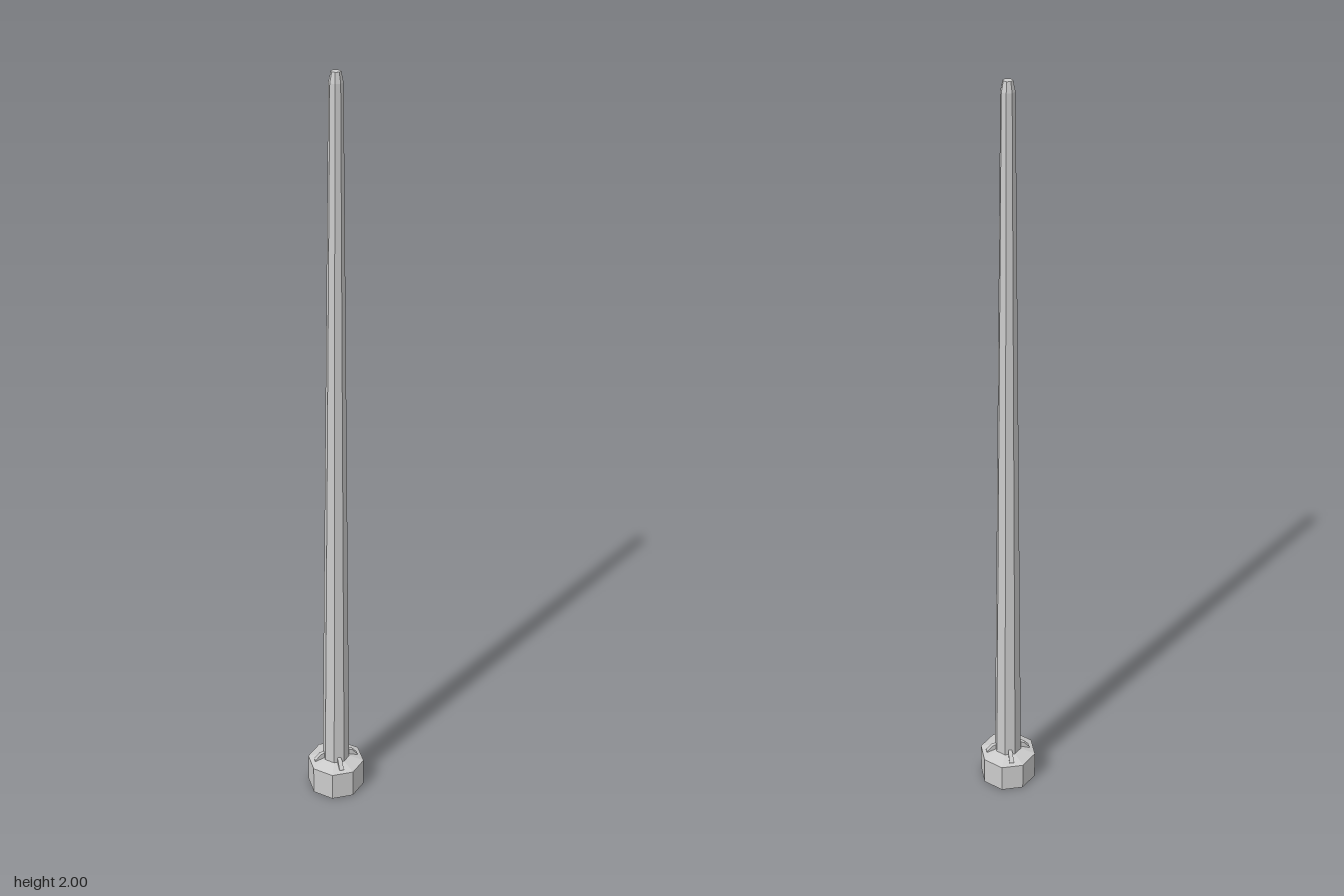
import * as THREE from 'three';

const material = new THREE.MeshStandardMaterial({ color: 0xcccccc, flatShading: true });

// Octagonal solid from [apothem, y] pairs, flat sides facing the axes
function octagon(name, profile) {
  const points = profile.map(([a, y]) => new THREE.Vector2(a / Math.cos(Math.PI / 8), y));
  const geometry = new THREE.LatheGeometry(points, 8).rotateY(Math.PI / 8).toNonIndexed();
  geometry.computeVertexNormals();
  const mesh = new THREE.Mesh(geometry, material);
  mesh.name = name;
  return mesh;
}

// Small sloped rib, profile drawn outwards from the pole
function createGusset() {
  const shape = new THREE.Shape([
    [0.025, 0.078], [0.061, 0.078], [0.06, 0.087], [0.045, 0.104], [0.025, 0.11],
  ].map(([x, y]) => new THREE.Vector2(x, y)));
  const geometry = new THREE.ExtrudeGeometry(shape, { depth: 0.012, bevelEnabled: false });
  geometry.translate(0, 0, -0.006);
  // Narrow towards the pole
  const p = geometry.attributes.position;
  for (let i = 0; i < p.count; i++) {
    if (p.getX(i) < 0.03) p.setZ(i, p.getZ(i) * 0.6);
  }
  geometry.computeVertexNormals();
  return new THREE.Mesh(geometry, material);
}

export function createModel() {
  const model = new THREE.Group();
  model.name = 'pole';

  // Footing with a shallow sloping top
  model.add(octagon('base', [[0, 0], [0.071, 0], [0.071, 0.08], [0.034, 0.092], [0, 0.092]]));

  // Tapering shaft with a chamfered tip
  model.add(octagon('shaft', [[0, 0.085], [0.034, 0.085], [0.016, 1.975], [0.011, 2], [0, 2]]));

  // Four ribs on the diagonals
  for (let i = 0; i < 4; i++) {
    const gusset = createGusset();
    gusset.name = `gusset${i + 1}`;
    gusset.rotation.y = Math.PI / 4 + i * Math.PI / 2;
    model.add(gusset);
  }
  return model;
}
